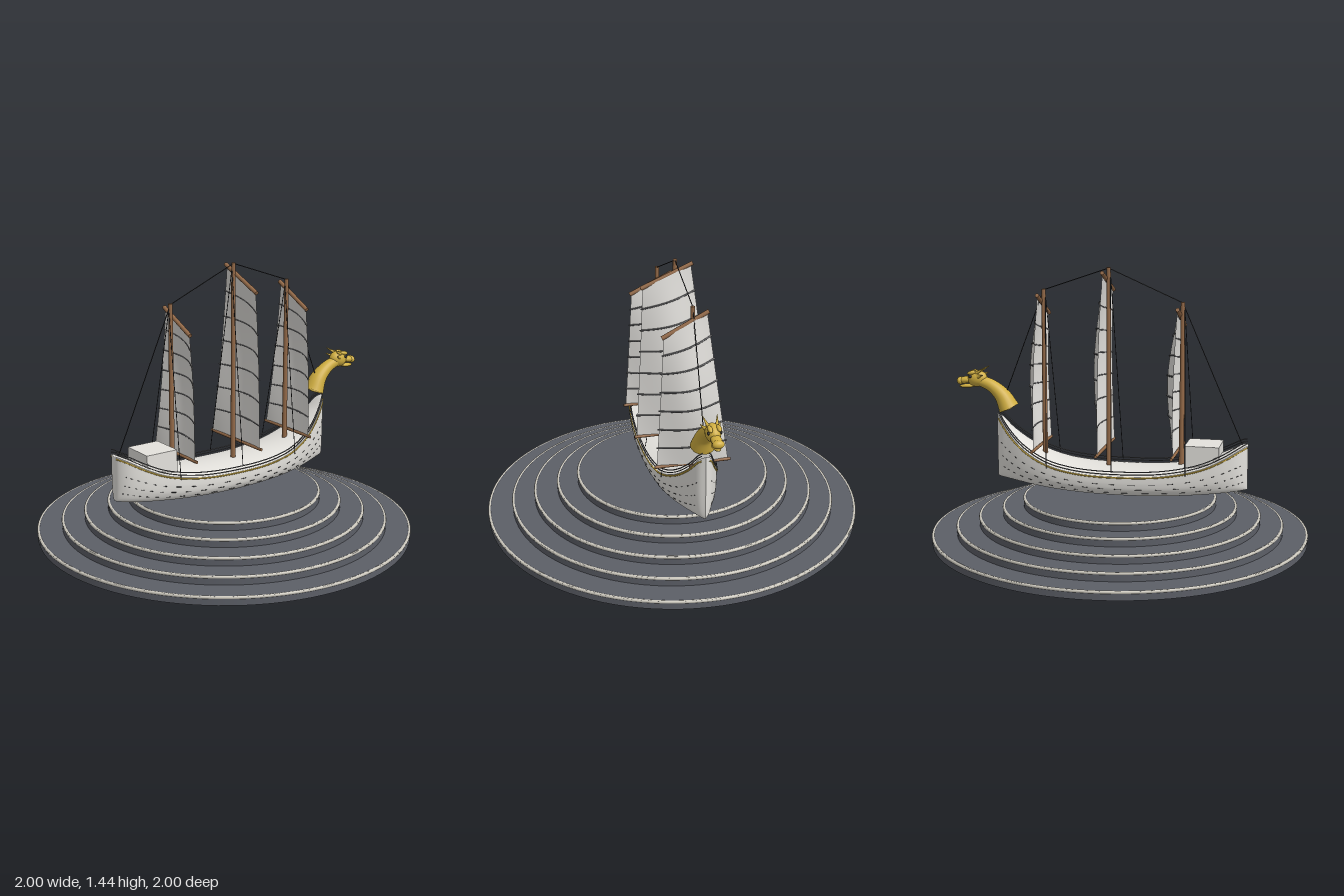
import * as THREE from 'three';
import { ParametricGeometry } from 'three/addons/geometries/ParametricGeometry.js';

const V = (x, y, z) => new THREE.Vector3(x, y, z);
const lerp = THREE.MathUtils.lerp;

export function createModel() {
  const model = new THREE.Group();
  const material = (name, color, extra = {}) => {
    const m = new THREE.MeshStandardMaterial({ color, ...extra });
    m.name = name;
    return m;
  };
  const slate = material('slate', 0x5c5f67);
  const rimStone = material('pale rim', 0xcdc9be);
  const hullWhite = material('hull white', 0xe4e2dd);
  const sailCloth = material('sail cloth', 0xe0deda, { side: THREE.DoubleSide });
  const wood = material('wood', 0x946a48);
  const gold = material('gold', 0xd0ae40);
  const batten = material('batten grey', 0x68686a);
  const dark = material('dark line', 0x2e2e30);

  const add = (parent, name, geometry, mat) => {
    const mesh = new THREE.Mesh(geometry, mat);
    mesh.name = name;
    parent.add(mesh);
    return mesh;
  };
  const group = (name) => {
    const g = new THREE.Group();
    g.name = name;
    model.add(g);
    return g;
  };
  // Straight round bar between two points
  const rod = (parent, name, a, b, r, mat, r2 = r, sides = 10) => {
    const mesh = add(parent, name, new THREE.CylinderGeometry(r2, r, a.distanceTo(b), sides), mat);
    mesh.position.copy(a).lerp(b, 0.5);
    mesh.quaternion.setFromUnitVectors(V(0, 1, 0), b.clone().sub(a).normalize());
    return mesh;
  };
  const tube = (parent, name, pts, r, mat) =>
    add(parent, name, new THREE.TubeGeometry(new THREE.CatmullRomCurve3(pts), pts.length * 2, r, 6), mat);
  const range = (n, f) => Array.from({ length: n }, (_, i) => f(i));

  // Stepped round plinth with pale rims
  const base = group('plinth');
  [1, 0.87, 0.75, 0.625, 0.515].forEach((r, i) => {
    const h = 0.045;
    const step = add(base, 'plinthStep', new THREE.CylinderGeometry(r - 0.003, r - 0.003, h, 96), slate);
    step.position.y = h * (i + 0.5);
    const rim = add(base, 'stepRim', new THREE.TorusGeometry(r - 0.008, 0.008, 8, 96), rimStone);
    rim.rotation.x = Math.PI / 2;
    rim.position.y = h * (i + 1) - 0.006;
  });

  // Hull lines: x, sheer height, half beam
  const lines = new THREE.CatmullRomCurve3([
    [-0.68, 0.53, 0], [-0.672, 0.53, 0.035], [-0.64, 0.515, 0.075], [-0.57, 0.475, 0.11],
    [-0.45, 0.42, 0.135], [-0.25, 0.378, 0.157], [0, 0.365, 0.165], [0.2, 0.372, 0.16],
    [0.36, 0.402, 0.142], [0.5, 0.468, 0.105], [0.6, 0.552, 0.062], [0.655, 0.62, 0.03], [0.677, 0.64, 0],
  ].map((p) => V(...p)));
  const section = new THREE.SplineCurve([
    [0, 0], [0.5, 0.01], [0.8, 0.09], [0.95, 0.32], [1, 0.62], [1, 1],
  ].map((p) => new THREE.Vector2(...p)));
  const hullPoint = (u, s, side, out = 0) => {
    const l = lines.getPoint(u), p = section.getPoint(s);
    const keel = 0.25 + 0.045 * (l.x / 0.68) ** 2;
    return V(l.x, lerp(keel, l.y, p.y), side * (l.z * p.x + out));
  };
  const ship = group('ship');
  for (const side of [1, -1]) {
    add(ship, 'hullSide', new ParametricGeometry((u, v, t) =>
      t.copy(hullPoint(side > 0 ? u : 1 - u, v, side)), 72, 20), hullWhite);
    // Gilded line, rails and rows of short plank marks
    const along = (s, out, lift) => range(25, (i) => {
      const p = hullPoint(0.05 + 0.9 * i / 24, s, side, out);
      p.y += lift;
      return p;
    });
    tube(ship, 'gildedLine', along(0.965, 0, 0), 0.0045, gold);
    tube(ship, 'lowerRail', along(1, -0.002, 0.012), 0.0025, batten);
    tube(ship, 'upperRail', along(1, -0.004, 0.026), 0.003, batten);
    for (const [row, s] of [0.52, 0.66, 0.8].entries()) {
      for (let i = 0; i < 22; i++) {
        const u = 0.12 + 0.78 * (i + row / 3) / 22;
        rod(ship, 'plankMark', hullPoint(u, s, side), hullPoint(u + 0.012, s, side), 0.0018, dark, 0.0018, 5);
      }
    }
  }
  // Cambered deck
  add(ship, 'deck', new ParametricGeometry((u, v, t) => {
    const l = lines.getPoint(u), k = 1 - 2 * v;
    t.set(l.x, l.y + 0.14 * l.z * (1 - k * k), l.z * k);
  }, 72, 12), hullWhite);
  const cabin = add(ship, 'deckCabin', new THREE.BoxGeometry(0.18, 0.12, 0.185), hullWhite);
  cabin.position.set(-0.45, 0.47, 0);

  // Masts with battened sails: mast x, mast top, sail half foot, head corners (z, y)
  const rigs = [
    { x: -0.33, top: 1.265, foot: 0.185, aft: [0.145, 1.13], peak: [-0.07, 1.23] },
    { x: 0.06, top: 1.435, foot: 0.21, aft: [0.17, 1.305], peak: [-0.078, 1.41] },
    { x: 0.41, top: 1.315, foot: 0.185, aft: [0.148, 1.175], peak: [-0.068, 1.285] },
  ];
  for (const { x, top, foot, aft, peak } of rigs) {
    const rig = group('mastAndSail');
    rod(rig, 'mast', V(x, 0.36, 0), V(x, top, 0), 0.014, wood, 0.011, 14);
    const sailPoint = (u, v, out = 0) => {
      const mid = (aft[1] + peak[1]) / 2;
      const billow = Math.sin(Math.PI * u) * (0.012 + 0.043 * Math.sin(Math.PI * v));
      return V(
        x + 0.016 + 0.008 * Math.sin(Math.PI * v) + billow + out,
        lerp(0.48, mid, v) + (0.5 - u) * (aft[1] - peak[1]) * v * v,
        lerp(lerp(foot, aft[0], v), lerp(-foot, peak[0], v), u));
    };
    add(rig, 'sail', new ParametricGeometry((u, v, t) => t.copy(sailPoint(u, v)), 18, 28), sailCloth);
    for (let i = 1; i <= 6; i++) {
      const v = i / 7;
      tube(rig, 'sailBatten', range(11, (j) => sailPoint(-0.02 + 1.04 * j / 10, v, 0.002)), 0.0045, batten);
    }
    rod(rig, 'boom', V(x + 0.02, 0.48, foot + 0.012), V(x + 0.02, 0.48, -foot - 0.012), 0.008, wood);
    const a = V(x + 0.014, ...aft.slice().reverse()), b = V(x + 0.014, ...peak.slice().reverse());
    const over = b.clone().sub(a).multiplyScalar(0.04);
    rod(rig, 'yard', a.sub(over), b.add(over), 0.011, wood);
    // Shrouds down to both gunwales
    for (const s of [1, -1]) {
      rod(rig, 'shroud', V(x - 0.01, top - 0.03, 0), V(x - 0.045, 0.385, s * 0.15), 0.002, dark, 0.002, 5);
    }
  }

  // Stays running over the mast heads
  const rigging = group('rigging');
  const stay = [V(-0.65, 0.53, 0), ...rigs.map((r) => V(r.x, r.top - 0.004, 0)), V(0.625, 0.75, 0)];
  for (let i = 0; i < stay.length - 1; i++) rod(rigging, 'stay', stay[i], stay[i + 1], 0.0025, dark, 0.0025, 5);

  // Gilded dragon figurehead
  const dragon = group('figurehead');
  const spine = new THREE.CatmullRomCurve3([
    V(0.606, 0.662, 0), V(0.645, 0.735, 0), V(0.705, 0.788, 0), V(0.78, 0.818, 0)]);
  add(dragon, 'neck', new ParametricGeometry((u, v, t) => {
    const c = spine.getPoint(u), d = spine.getTangent(u), a = v * Math.PI * 2;
    const r = u === 0 ? 0 : lerp(0.057, 0.03, Math.sin(u * Math.PI / 2));
    const n = Math.cos(a) * r, z = -Math.sin(a) * r * lerp(1.12, 1, u);
    t.set(c.x - d.y * n, c.y + d.x * n, z);
  }, 28, 24), gold);
  const blob = (name, pos, size, tilt = 0, mat = gold) => {
    const m = add(dragon, name, new THREE.SphereGeometry(1, 20, 14), mat);
    m.position.set(...pos);
    m.scale.set(...size);
    m.rotation.z = tilt;
  };
  blob('head', [0.785, 0.825, 0], [0.055, 0.044, 0.038], -0.15);
  blob('upperSnout', [0.85, 0.815, 0], [0.048, 0.019, 0.027], -0.15);
  blob('nose', [0.879, 0.81, 0], [0.02, 0.021, 0.03]);
  blob('lowerJaw', [0.84, 0.783, 0], [0.047, 0.011, 0.022], -0.08);
  for (const s of [1, -1]) {
    blob('brow', [0.81, 0.858, s * 0.022], [0.025, 0.011, 0.012], -0.2);
    blob('eye', [0.816, 0.839, s * 0.031], [0.009, 0.008, 0.006], 0, dark);
    rod(dragon, 'horn', V(0.785, 0.855, s * 0.02), V(0.728, 0.89, s * 0.036), 0.01, gold, 0.001);
    rod(dragon, 'ear', V(0.77, 0.84, s * 0.03), V(0.738, 0.852, s * 0.05), 0.011, gold, 0.001);
  }
  return model;
}
